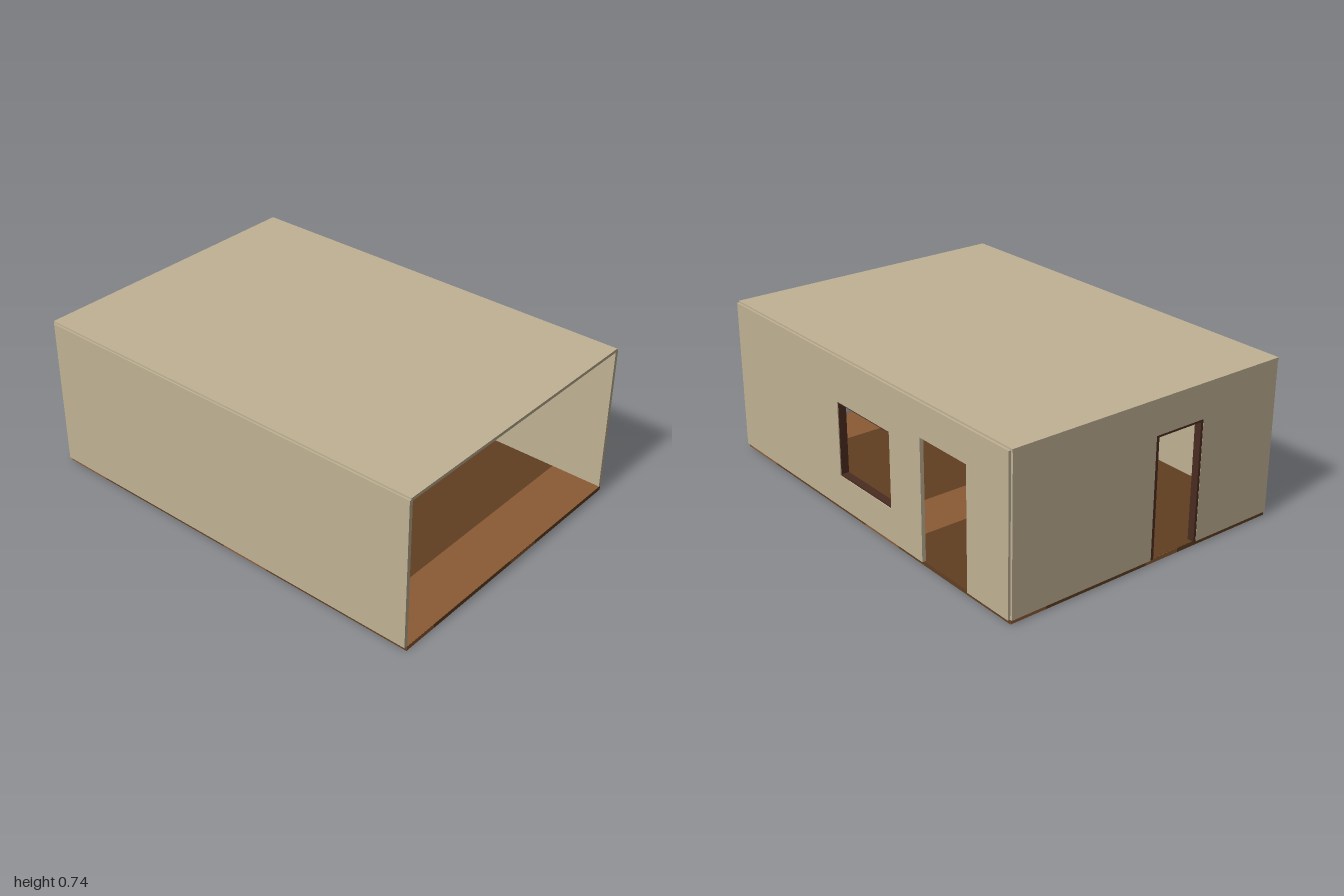
import * as THREE from 'three';
import { RoundedBoxGeometry } from 'three/addons/geometries/RoundedBoxGeometry.js';

const mat = (name, color) => {
  const m = new THREE.MeshStandardMaterial({ color });
  m.name = name;
  return m;
};

export function createModel() {
  const wall = mat('tan wall', 0xc0b294);
  const floorLight = mat('light floor wood', 0x8b5a35);
  const floorDark = mat('dark floor wood', 0x603f21);
  const trim = mat('dark brown trim', 0x4a2c20);
  const red = mat('dark red upholstery', 0x66202f);
  const dark = mat('dark chair frame', 0x2c2324);

  const group = (name, parent) => {
    const g = new THREE.Group();
    g.name = name;
    parent.add(g);
    return g;
  };
  // Box given by its extents; a radius makes it a soft cushion
  const box = (parent, name, m, x0, x1, y0, y1, z0, z1, r = 0) => {
    const s = [x1 - x0, y1 - y0, z1 - z0];
    const geo = r ? new RoundedBoxGeometry(...s, 3, r) : new THREE.BoxGeometry(...s);
    const mesh = new THREE.Mesh(geo, m);
    mesh.name = name;
    mesh.position.set((x0 + x1) / 2, (y0 + y1) / 2, (z0 + z1) / 2);
    parent.add(mesh);
    return mesh;
  };

  const model = new THREE.Group();
  model.name = 'room';

  // Floor: bands across the room
  const floor = group('floor', model);
  [[0.75, 1, floorLight], [0, 0.75, floorDark], [-0.25, 0, floorLight], [-0.99, -0.25, floorDark]]
    .forEach(([z0, z1, m]) => box(floor, 'floorBand', m, -0.705, 0.705, 0, 0.02, z0, z1));
  // Striped floor edges on the front, back and right side
  [[-0.705, -0.53, floorLight], [-0.53, 0, floorDark], [0, 0.18, floorLight], [0.18, 0.705, floorDark]]
    .forEach(([x0, x1, m]) => {
      box(floor, 'frontEdgeStripe', m, x0, x1, 0, 0.0195, 0.999, 1.001);
      box(floor, 'backEdgeStripe', m, -x1, -x0, 0, 0.0195, -0.992, -0.989);
    });
  [[-0.99, -0.75, floorLight], [-0.75, 0, floorDark], [0, 0.25, floorLight], [0.25, 1, floorDark]]
    .forEach(([z0, z1, m]) => box(floor, 'sideEdgeStripe', m, -0.707, -0.704, 0, 0.0195, z0, z1));

  // Roof and plain right wall
  box(model, 'roof', wall, -0.71, 0.706, 0.725, 0.74, -1, 1);
  box(model, 'rightWall', wall, -0.718, -0.7, 0.02, 0.732, -0.99, 0.999);

  // Left wall around the window and the side doorway: z range, y range
  const leftWall = group('leftWall', model);
  [
    [0.165, 0.999, 0.02, 0.732], [-0.22, 0.165, 0.02, 0.175], [-0.22, 0.165, 0.525, 0.732],
    [-0.435, -0.22, 0.02, 0.732], [-0.735, -0.435, 0.58, 0.732], [-0.99, -0.735, 0.02, 0.732],
  ].forEach(([z0, z1, y0, y1]) => box(leftWall, 'leftWallPanel', wall, 0.698, 0.716, y0, y1, z0, z1));

  // Back wall around the doorway
  const backWall = group('backWall', model);
  box(backWall, 'backWallPanel', wall, -0.705, -0.28, 0.02, 0.738, -1, -0.985);
  box(backWall, 'backWallPanel', wall, -0.02, 0.705, 0.02, 0.738, -1, -0.985);
  box(backWall, 'doorHeader', wall, -0.28, -0.02, 0.58, 0.738, -1, -0.985);

  // Back door frame
  const doorFrame = group('doorFrame', model);
  box(doorFrame, 'doorJamb', trim, -0.283, -0.268, 0.02, 0.585, -0.999, -0.965);
  box(doorFrame, 'doorJamb', trim, -0.035, -0.018, 0.02, 0.585, -0.999, -0.965);
  box(doorFrame, 'doorLintel', trim, -0.268, -0.035, 0.57, 0.585, -0.999, -0.965);

  // Window frame, standing proud of the inner wall face
  const windowFrame = group('windowFrame', model);
  box(windowFrame, 'windowSill', trim, 0.676, 0.712, 0.167, 0.183, -0.228, 0.173);
  box(windowFrame, 'windowHead', trim, 0.676, 0.712, 0.518, 0.535, -0.228, 0.173);
  box(windowFrame, 'windowJamb', trim, 0.676, 0.712, 0.183, 0.518, -0.228, -0.215);
  box(windowFrame, 'windowJamb', trim, 0.676, 0.712, 0.183, 0.518, 0.161, 0.173);

  // Recliner, turned slightly to its left
  const chair = group('recliner', model);
  chair.position.set(-0.25, 0, 0.2);
  chair.rotation.y = 0.26;
  box(chair, 'base', dark, -0.095, 0.095, 0.035, 0.068, -0.08, 0.08, 0.01);
  box(chair, 'pedestal', dark, -0.06, 0.07, 0.066, 0.112, -0.06, 0.07, 0.01);
  box(chair, 'seatFrame', dark, -0.1, 0.1, 0.11, 0.145, -0.08, 0.09, 0.01);
  box(chair, 'seatCushion', red, -0.095, 0.095, 0.135, 0.178, -0.06, 0.125, 0.014);

  // Footrest with its support
  box(chair, 'footrestSupport', dark, -0.05, 0.05, 0.085, 0.11, 0.06, 0.19, 0.008);
  box(chair, 'footrestBoard', dark, -0.072, 0.072, 0.092, 0.108, 0.12, 0.215, 0.006);
  for (const s of [-1, 1]) {
    box(chair, 'footrestCushion', red, s < 0 ? -0.072 : 0.001, s < 0 ? -0.001 : 0.072,
      0.104, 0.134, 0.118, 0.222, 0.01);
    // Armrests with dark outer trim
    const [a, b] = s < 0 ? [-0.135, -0.095] : [0.095, 0.135];
    box(chair, 'armrest', red, a, b, 0.125, 0.213, -0.08, 0.092, 0.012);
    box(chair, 'armrestBackTrim', dark, a, b, 0.128, 0.217, -0.088, -0.07, 0.006);
  }

  // Leaning backrest: split cushions on a dark shell
  const back = group('backrest', chair);
  back.position.set(0.005, 0.14, -0.058);
  back.rotation.x = -0.15;
  box(back, 'backShell', dark, -0.094, 0.094, 0, 0.235, -0.025, 0.012, 0.012);
  for (const [y0, y1, w, front] of [[0.03, 0.142, 0.088, 0.048], [0.146, 0.244, 0.092, 0.052]]) {
    box(back, 'backCushion', red, -w, -0.001, y0, y1, 0, front, 0.014);
    box(back, 'backCushion', red, 0.001, w, y0, y1, 0, front, 0.014);
  }
  return model;
}
